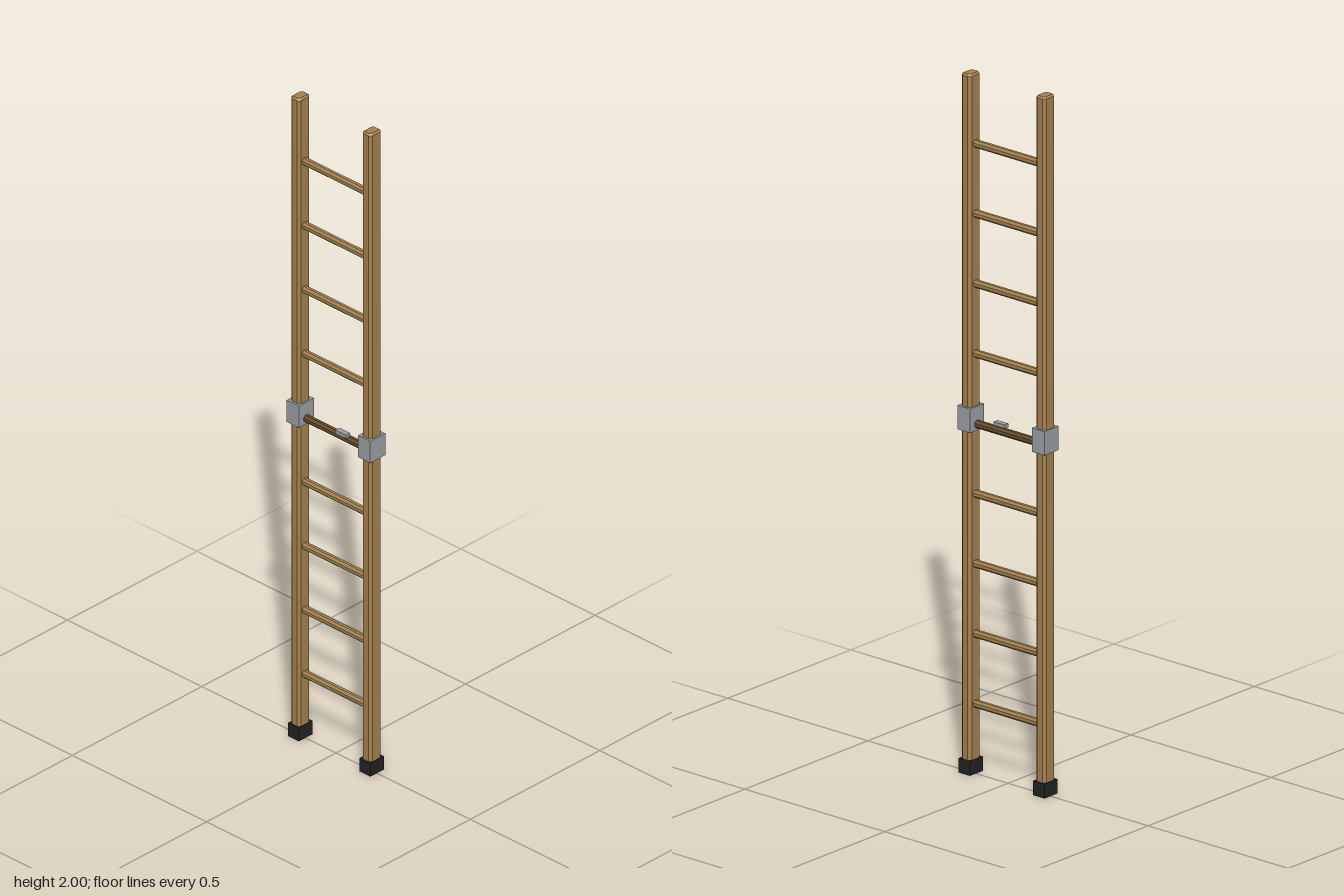
import * as THREE from 'three';

const mat = (name, color) => {
  const m = new THREE.MeshStandardMaterial({ color, flatShading: true });
  m.name = name;
  return m;
};

export function createModel() {
  const wood = mat('wood', 0xa5814f);
  const darkWood = mat('darkWood', 0x6b4c2c);
  const metal = mat('metal', 0x9a9fa3);
  const rubber = mat('rubber', 0x222222);

  const ladder = new THREE.Group();
  ladder.name = 'ladder';
  const add = (name, geometry, material, x, y, z) => {
    const mesh = new THREE.Mesh(geometry, material);
    mesh.name = name;
    mesh.position.set(x, y, z);
    ladder.add(mesh);
  };

  // Rail: chamfered rectangular section with bevelled ends, standing from y = 0 to 2
  const c = 0.005, w = 0.0175 - c, d = 0.023 - c;
  const section = new THREE.Shape([
    [w, -d + c], [w, d - c], [w - c, d], [-w + c, d],
    [-w, d - c], [-w, -d + c], [-w + c, -d], [w - c, -d],
  ].map(([x, y]) => new THREE.Vector2(x, y)));
  const railGeometry = new THREE.ExtrudeGeometry(section, {
    depth: 2 - 2 * c, bevelEnabled: true, bevelSegments: 1, bevelSize: c, bevelThickness: c,
  });
  railGeometry.rotateX(-Math.PI / 2).translate(0, c, 0);

  const footGeometry = new THREE.BoxGeometry(0.041, 0.041, 0.053);
  const bracketGeometry = new THREE.BoxGeometry(0.045, 0.068, 0.058);
  for (const [side, s] of [['left', 1], ['right', -1]]) {
    const x = s * 0.133;
    add(side + 'Rail', railGeometry, wood, x, 0, 0);
    add(side + 'Foot', footGeometry, rubber, x, 0.0215, 0);
    add(side + 'Bracket', bracketGeometry, metal, x, 1.016, 0);
  }

  // Nine octagonal rungs, the middle one darker
  const rungGeometry = new THREE.CylinderGeometry(0.0115, 0.0115, 0.25, 8);
  rungGeometry.rotateY(Math.PI / 8).rotateZ(Math.PI / 2);
  for (let i = 1; i <= 9; i++) {
    add('rung' + i, rungGeometry, i === 5 ? darkWood : wood, 0, i * 0.2, 0);
  }

  // Small latch tab resting over the middle rung
  add('latchTab', new THREE.BoxGeometry(0.04, 0.011, 0.016), metal, 0.032, 1.015, 0.008);

  return ladder;
}
